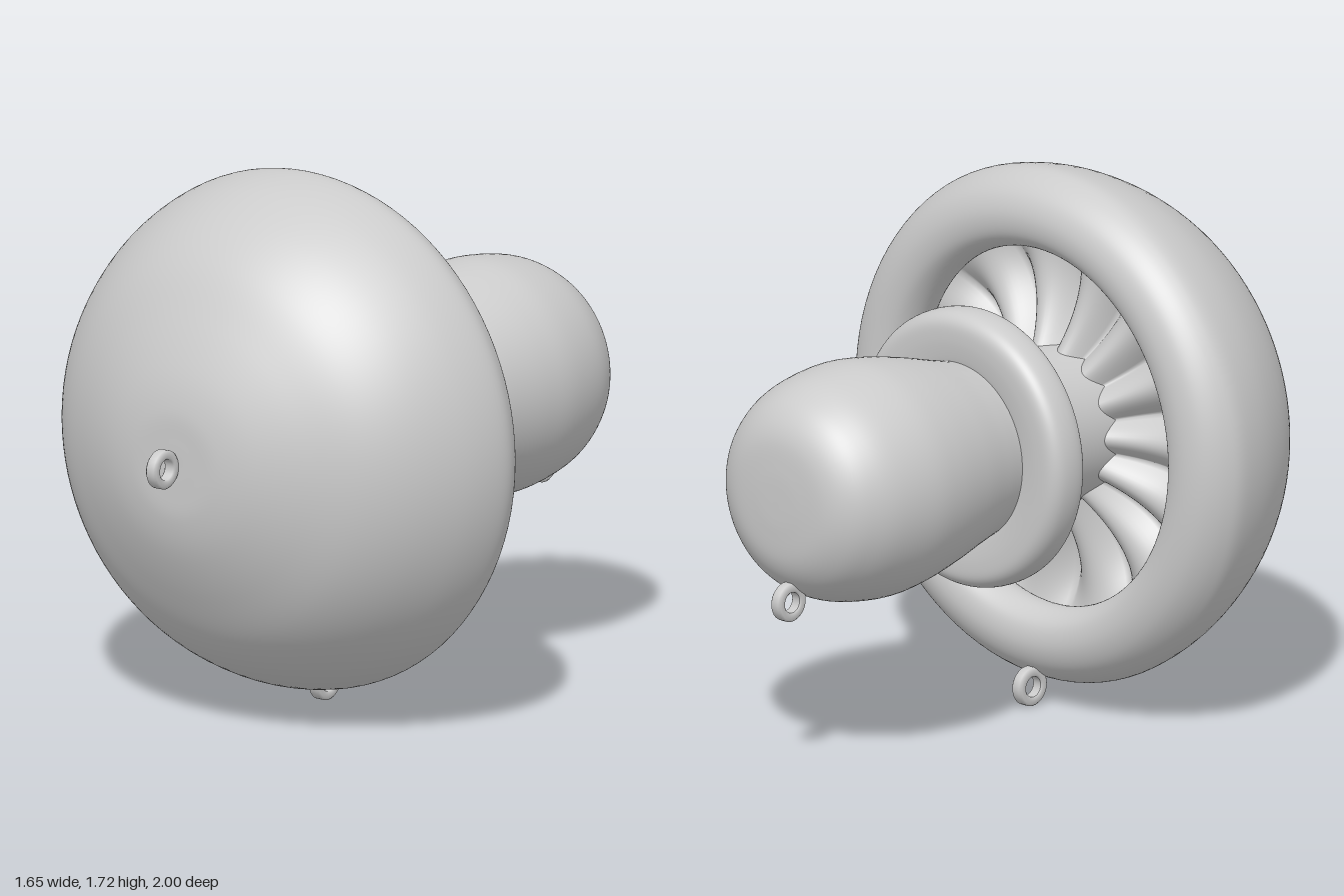
import * as THREE from 'three';
import { mergeVertices } from 'three/addons/utils/BufferGeometryUtils.js';

const AXIS_Y = 0.895; // height of the mushroom's horizontal axis
const material = new THREE.MeshStandardMaterial({ color: 0xcccccc });

// Turned part: smooth profile of [radius, z] pairs revolved about the z axis
function turned(name, profile, samples = 70) {
  const curve = new THREE.SplineCurve(profile.map(([r, z]) => new THREE.Vector2(r, z)));
  const points = curve.getPoints(samples);
  points.forEach(p => { p.x = Math.max(p.x, 0); });
  const geometry = new THREE.LatheGeometry(points, 96).rotateX(Math.PI / 2);
  const mesh = new THREE.Mesh(geometry, material);
  mesh.name = name;
  mesh.position.y = AXIS_Y;
  return mesh;
}

// Pleated underside: radial lobes on a shallow bowl facing the stem
function makeGills() {
  const inner = 0.2, outer = 0.63, count = 14;
  let geometry = new THREE.RingGeometry(inner, outer, count * 16, 20).rotateY(Math.PI);
  const pos = geometry.attributes.position;
  for (let i = 0; i < pos.count; i++) {
    const x = pos.getX(i), y = pos.getY(i);
    const t = (Math.hypot(x, y) - inner) / (outer - inner);
    const bowl = 0.2 + 0.09 * t + 0.3 * t * (1 - t);
    const lobe = Math.abs(Math.cos(Math.atan2(y, x) * count / 2));
    pos.setZ(i, bowl + 0.085 * (0.5 - lobe) * Math.sin(Math.PI * (0.15 + 0.75 * t)));
  }
  geometry.deleteAttribute('uv');
  geometry.deleteAttribute('normal');
  geometry = mergeVertices(geometry, 1e-4);
  geometry.computeVertexNormals();
  const mesh = new THREE.Mesh(geometry, material);
  mesh.name = 'gills';
  mesh.position.y = AXIS_Y;
  return mesh;
}

// Small hanging eyelet with softened edges, its hole running along x
function makeEyelet(name, y, z) {
  const profile = [
    [0.033, 0.016], [0.033, -0.016], [0.038, -0.021], [0.055, -0.021],
    [0.062, -0.014], [0.062, 0.014], [0.055, 0.021], [0.038, 0.021], [0.033, 0.016],
  ].map(([r, h]) => new THREE.Vector2(r, h));
  const mesh = new THREE.Mesh(new THREE.LatheGeometry(profile, 32).rotateZ(Math.PI / 2), material);
  mesh.name = name;
  mesh.position.set(0, y, z);
  return mesh;
}

export function createModel() {
  const group = new THREE.Group();
  group.name = 'mushroom';

  // Cap: from the inner lip, around the rolled rim, to the front of the dome
  group.add(turned('cap', [
    [0.64, 0.33], [0.585, 0.25], [0.58, 0.18], [0.62, 0.125], [0.69, 0.11], [0.76, 0.135],
    [0.81, 0.195], [0.825, 0.27], [0.79, 0.41], [0.71, 0.56], [0.6, 0.68], [0.45, 0.775],
    [0.3, 0.845], [0.18, 0.877], [0.08, 0.882], [0, 0.882],
  ], 100));
  group.add(makeGills());

  // Stem: bulbous end tapering towards the cap
  group.add(turned('stem', [
    [0, -0.988], [0.1, -0.986], [0.2, -0.974], [0.27, -0.938], [0.32, -0.88], [0.358, -0.79],
    [0.378, -0.65], [0.369, -0.53], [0.34, -0.39], [0.305, -0.26], [0.28, -0.15],
    [0.27, -0.02], [0.255, 0.11], [0.25, 0.3],
  ], 100));

  // Collar around the stem, flared where it meets the neck
  group.add(turned('collar', [
    [0.26, -0.18], [0.3, -0.19], [0.36, -0.196], [0.41, -0.191], [0.438, -0.165], [0.446, -0.12],
    [0.438, -0.075], [0.41, -0.049], [0.36, -0.037], [0.31, -0.029], [0.284, -0.012], [0.265, 0.03],
  ]));

  group.add(makeEyelet('frontEyelet', AXIS_Y, 0.938));
  group.add(makeEyelet('rimEyelet', 0.065, 0.135));
  group.add(makeEyelet('stemEyelet', 0.56, -0.935));
  return group;
}
